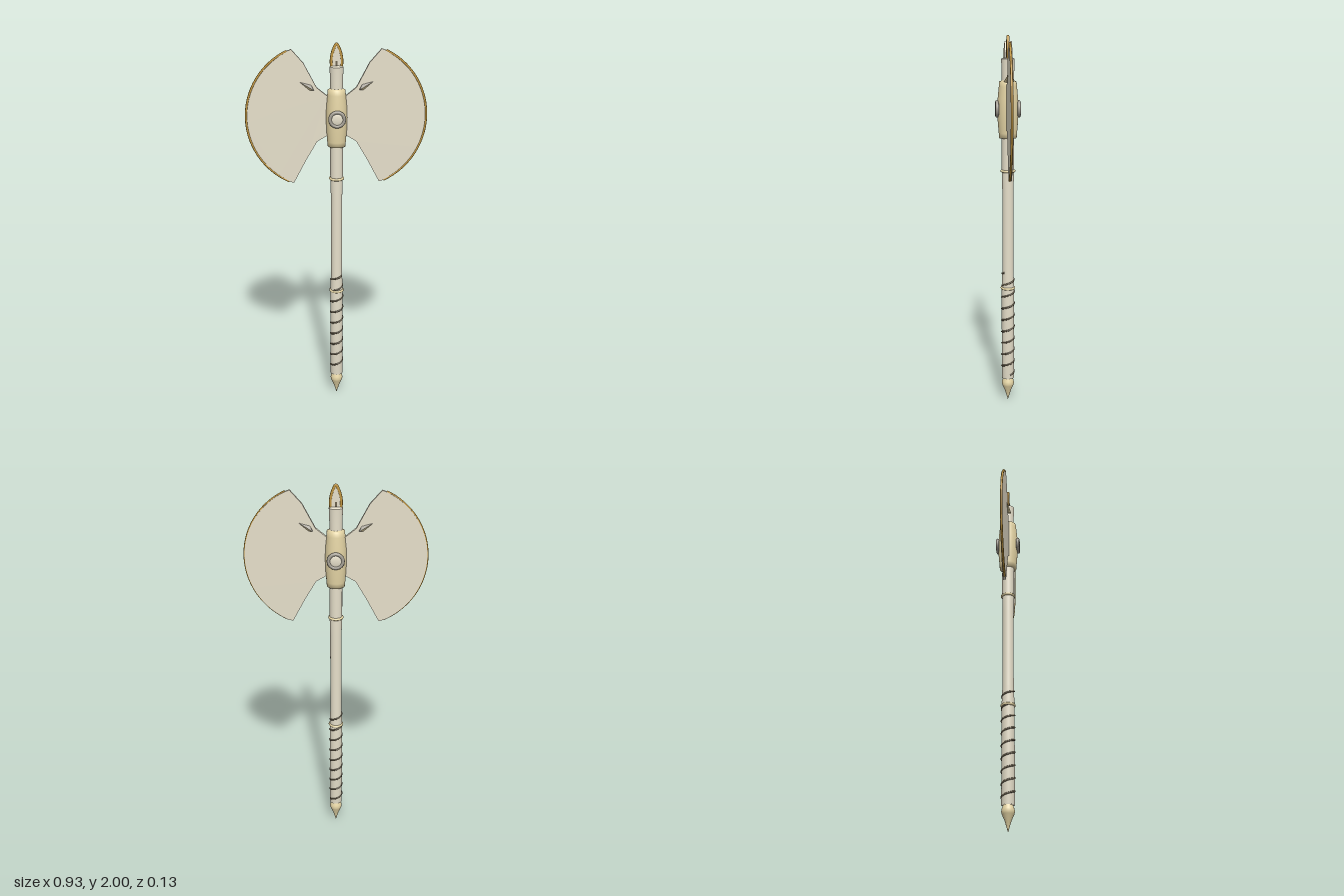
import * as THREE from 'three';
import { ConvexGeometry } from 'three/addons/geometries/ConvexGeometry.js';

const material = (name, color) => {
  const m = new THREE.MeshStandardMaterial({ color });
  m.name = name;
  return m;
};
const V2 = (x, y) => new THREE.Vector2(x, y);
const V3 = (x, y, z) => new THREE.Vector3(x, y, z);

export function createModel() {
  const steel = material('pale steel', 0xe6dfca);
  const brass = material('pale brass', 0xe5d5a5);
  const gold = material('dark gold', 0xc0953f);
  const ringGrey = material('ring grey', 0xa39e93);
  const cord = material('dark cord', 0x6a604c);

  const group = new THREE.Group();
  const add = (name, geometry, mat, parent = group) => {
    const mesh = new THREE.Mesh(geometry, mat);
    mesh.name = name;
    parent.add(mesh);
    return mesh;
  };
  const lathe = (points, segments = 32) =>
    new THREE.LatheGeometry(points.map(([x, y]) => V2(x, y)), segments);
  const tube = (points, radius, segments) =>
    new THREE.TubeGeometry(new THREE.CatmullRomCurve3(points), segments, radius, 8);

  // Shaft, slightly thicker at the grip and at the top
  add('shaft', lathe([[0, 0.135], [0.034, 0.135], [0.034, 0.66], [0.03, 0.76],
    [0.03, 1.2], [0.033, 1.32], [0.032, 1.8], [0.035, 1.88]]), steel);
  add('shaftCap', lathe([[0.035, 1.88], [0.026, 1.885], [0, 1.886]]), steel);

  // Pointed pommel with a rounded shoulder
  add('pommel', lathe([[0, 0], [0.007, 0.025], [0.017, 0.058], [0.031, 0.09],
    [0.034, 0.102], [0.032, 0.116], [0.024, 0.136]]), brass);

  // Shaft rings
  for (const y of [0.657, 1.3]) {
    const ring = add('shaftRing', new THREE.TorusGeometry(0.033, 0.007, 10, 32), brass);
    ring.rotation.x = Math.PI / 2;
    ring.position.y = y;
  }

  // Cord spiralling up the grip
  const coil = [];
  const start = -1.4 * Math.PI, end = 16.3 * Math.PI;
  for (let i = 0; i <= 144; i++) {
    const t = start + (end - start) * i / 144;
    const y = 0.205 + 0.0665 * t / (2 * Math.PI);
    const r = y < 0.66 ? 0.033 : 0.031;
    coil.push(V3(r * Math.sin(t), y, r * Math.cos(t)));
  }
  add('gripCord', tube(coil, 0.005, 430), cord);

  // Barrel-shaped collar holding the blades
  add('collar', lathe([[0.03, 1.474], [0.046, 1.474], [0.048, 1.5], [0.053, 1.56],
    [0.055, 1.625], [0.053, 1.68], [0.047, 1.74], [0.045, 1.765], [0.032, 1.771]]), brass);

  // Round bosses on the front and back of the collar
  for (const side of [1, -1]) {
    const boss = new THREE.Group();
    boss.name = side > 0 ? 'frontBoss' : 'backBoss';
    boss.position.set(0, 1.625, side * 0.057);
    if (side < 0) boss.rotation.y = Math.PI;
    group.add(boss);
    add('bossRing', new THREE.TorusGeometry(0.036, 0.009, 12, 36), ringGrey, boss);
    const dome = add('bossDome', new THREE.SphereGeometry(0.033, 28, 16), steel, boss);
    dome.scale.z = 0.25;
  }

  // Two mirrored blades, tapering towards the cutting edge
  for (const s of [1, -1]) {
    const blade = new THREE.Group();
    blade.name = s > 0 ? 'leftBlade' : 'rightBlade';
    group.add(blade);

    const arc = [];
    const cx = 0.086, cy = 1.624, R = 0.372, a = 1.125;
    for (let i = 0; i <= 40; i++) {
      const t = a - 2 * a * i / 40;
      arc.push([cx + R * Math.cos(t), cy + R * Math.sin(t)]);
    }
    const outline = [[0, 1.72], [0.05, 1.737], [0.1, 1.777], [0.165, 1.9], [0.225, 1.968],
      ...arc, [0.222, 1.281], [0.155, 1.407], [0.1, 1.5], [0.05, 1.53], [0, 1.54]];
    const shape = new THREE.Shape(outline.map(([x, y]) => V2(s * x, y)));
    const geo = new THREE.ExtrudeGeometry(shape, { depth: 1, bevelEnabled: false });
    const p = geo.attributes.position;
    for (let i = 0; i < p.count; i++) {
      const k = Math.abs(p.getX(i)) / 0.46;
      p.setZ(i, p.getZ(i) > 0.5 ? 0.01 - 0.005 * k : -0.012 + 0.008 * k);
    }
    geo.computeVertexNormals();
    add('bladePlate', geo, steel, blade);
    add('cuttingEdge', tube(arc.map(([x, y]) => V3(s * x, y, 0.0025)), 0.006, 60), gold, blade);

    // Small barb straddling the upper notch: brass below, grey ridge on top
    const tip = [V3(s * 0.185, 1.806, 0.008), V3(s * 0.185, 1.806, -0.008)];
    const wings = [V3(s * 0.115, 1.768, 0.028), V3(s * 0.115, 1.768, -0.028)];
    add('barb', new ConvexGeometry([...tip, ...wings, V3(s * 0.135, 1.765, 0.012),
      V3(s * 0.135, 1.765, -0.012)]), brass, blade);
    add('barbRidge', new ConvexGeometry([...tip, ...wings, V3(s * 0.128, 1.792, 0.008),
      V3(s * 0.128, 1.792, -0.008)]), ringGrey, blade);
  }

  // Flat leaf-shaped finial with a gold rim
  const leaf = [[0.024, 1.875], [0.026, 1.91], [0.021, 1.945], [0.011, 1.973], [0, 1.992]];
  const leafOutline = [...leaf, ...leaf.slice(0, -1).reverse().map(([x, y]) => [-x, y])];
  const leafGeo = new THREE.ExtrudeGeometry(
    new THREE.Shape(leafOutline.map(([x, y]) => V2(x, y))), { depth: 0.012, bevelEnabled: false });
  leafGeo.translate(0, 0, -0.006);
  add('finial', leafGeo, steel);
  add('finialRim', tube(leafOutline.map(([x, y]) => V3(x, y, 0)), 0.008, 40), gold);
  add('finialSlot', new THREE.BoxGeometry(0.009, 0.03, 0.016), cord).position.y = 1.895;

  return group;
}
